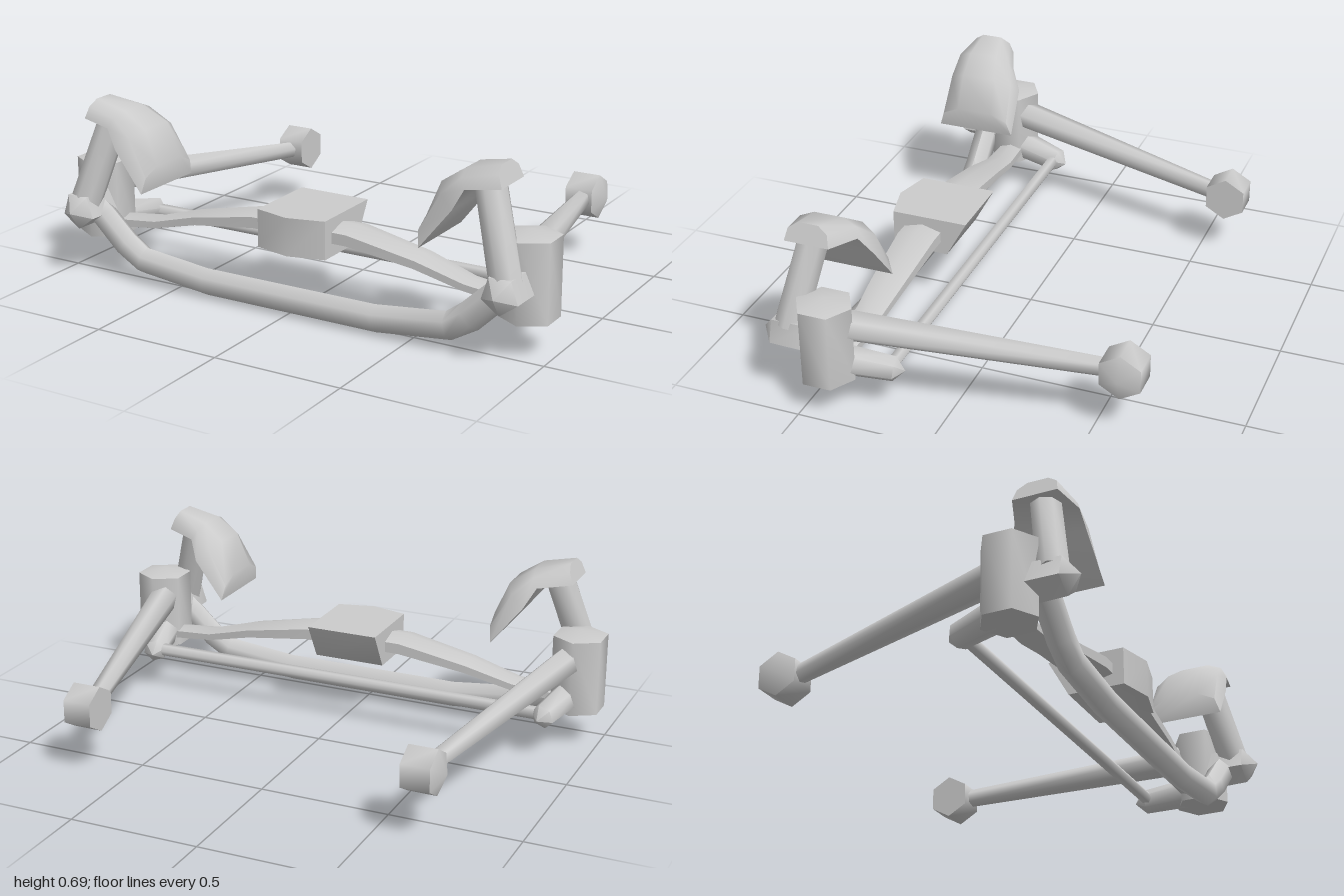
import * as THREE from 'three';
import { toCreasedNormals } from 'three/addons/utils/BufferGeometryUtils.js';

const material = new THREE.MeshStandardMaterial({ color: 0xcccccc, side: THREE.DoubleSide });
const V = (x, y, z) => new THREE.Vector3(x, y, z);

function part(name, geometry) {
  const mesh = new THREE.Mesh(toCreasedNormals(geometry, 1.1), material);
  mesh.name = name;
  return mesh;
}

// Skin over a row of equal-sized closed rings, with both ends capped
function loft(rings) {
  const n = rings[0].length, pos = [], index = [];
  rings.forEach(r => r.forEach(p => pos.push(p.x, p.y, p.z)));
  for (let i = 0; i < rings.length - 1; i++) {
    for (let j = 0; j < n; j++) {
      const a = i * n + j, b = i * n + (j + 1) % n;
      index.push(a, b, a + n, b, b + n, a + n);
    }
  }
  const last = (rings.length - 1) * n;
  for (let j = 1; j < n - 1; j++) {
    index.push(0, j + 1, j, last, last + j, last + j + 1);
  }
  // Turn the faces outward if the enclosed volume comes out negative
  let volume = 0;
  const at = i => V(pos[3 * i], pos[3 * i + 1], pos[3 * i + 2]);
  for (let i = 0; i < index.length; i += 3) {
    volume += at(index[i]).dot(at(index[i + 1]).cross(at(index[i + 2])));
  }
  if (volume < 0) index.reverse();
  const g = new THREE.BufferGeometry();
  g.setAttribute('position', new THREE.Float32BufferAttribute(pos, 3));
  g.setIndex(index);
  return g;
}

// Tapered rod between two points; tip adds a conical end at b
function rod(a, b, ra, rb, tip = 0, sides = 6) {
  const length = a.distanceTo(b);
  const profile = [[0, 0], [ra, 0], [rb, length], [0, length + tip]];
  const g = new THREE.LatheGeometry(profile.map(p => new THREE.Vector2(...p)), sides);
  const dir = b.clone().sub(a).normalize();
  g.applyQuaternion(new THREE.Quaternion().setFromUnitVectors(V(0, 1, 0), dir));
  return g.translate(a.x, a.y, a.z);
}

// Bar following a path of [x, y, z, half height, half depth] in the front plane
function bar(path) {
  return loft(path.map(([x, y, z, h, d], i) => {
    const p = path[Math.max(i - 1, 0)], q = path[Math.min(i + 1, path.length - 1)];
    const t = new THREE.Vector2(q[0] - p[0], q[1] - p[1]).normalize();
    return Array.from({ length: 6 }, (_, k) => {
      const a = k * Math.PI / 3, u = Math.cos(a) * h;
      return V(x - t.y * u, y + t.x * u, z + Math.sin(a) * d * 1.12);
    });
  }));
}

const mirrored = half => [...half, ...half.map(([x, ...rest]) => [-x, ...rest]).reverse()];

// Arched hood: [crown x, crown y, edge x, edge y, back z, front z] per station
function hood(s) {
  const stations = [
    [-0.84, 0.70, -0.865, 0.63, 0.41, 0.58],
    [-0.71, 0.67, -0.74, 0.615, 0.36, 0.605],
    [-0.62, 0.61, -0.70, 0.54, 0.32, 0.615],
    [-0.565, 0.48, -0.58, 0.39, 0.31, 0.625],
  ];
  const arch = [[0, 0], [0.06, 0.65], [0.27, 1], [0.73, 1], [0.94, 0.65], [1, 0]];
  return loft(stations.map(([cx, cy, ex, ey, z0, z1]) => arch.map(([w, h]) =>
    V(-s * (ex + (cx - ex) * h), ey + (cy - ey) * h, z0 + (z1 - z0) * w))));
}

export function createModel() {
  const model = new THREE.Group();
  const add = (name, g) => model.add(part(name, g));

  // Cross members
  add('frontBar', bar(mirrored([
    [-0.915, 0.30, 0.525, 0.053, 0.044], [-0.83, 0.235, 0.525, 0.053, 0.044],
    [-0.73, 0.14, 0.525, 0.055, 0.044], [-0.65, 0.09, 0.525, 0.053, 0.044],
    [-0.36, 0.058, 0.525, 0.053, 0.044],
  ])));
  add('axleBeam', bar(mirrored([
    [-0.9, 0.18, 0.41, 0.03, 0.045], [-0.66, 0.205, 0.395, 0.025, 0.052],
    [-0.47, 0.255, 0.39, 0.03, 0.066], [-0.2, 0.30, 0.39, 0.042, 0.078],
  ])));
  add('tieRod', rod(V(-0.82, 0.175, 0.212), V(0.82, 0.175, 0.212), 0.025, 0.025));

  // Central housing, undercut at the back and slightly pointed in front
  const plan = (y, back) => [
    [-0.143, back], [0.143, back], [0.143, 0.51], [0, 0.545], [-0.143, 0.51],
  ].map(([x, z]) => V(x, y, z));
  add('centreHousing', loft([plan(0.23, 0.29), plan(0.375, 0.21)]));

  // Mirrored side assemblies
  for (const s of [1, -1]) {
    const side = s > 0 ? 'left' : 'right';
    const P = (x, y, z) => V(s * x, y, z);
    add(side + 'KingPin', rod(P(0.905, 0.14, 0.42), P(0.905, 0.435, 0.42), 0.107, 0.107, 0.022));
    add(side + 'TrailingArm', rod(P(0.89, 0.35, 0.42), P(0.665, 0.25, -0.57), 0.06, 0.035));
    add(side + 'RearMount', rod(P(0.61, 0.253, -0.6), P(0.72, 0.253, -0.6), 0.0875, 0.0875, 0.035)
      .translate(0, -0.253, 0.6).rotateX(Math.PI / 6 * (isPointedUp(s) ? 0 : 1)).translate(0, 0.253, -0.6));
    add(side + 'SteeringArm', rod(P(0.89, 0.205, 0.42), P(0.835, 0.17, 0.195), 0.062, 0.048, 0.04));
    add(side + 'Joint', rod(P(0.885, 0.275, 0.47), P(0.885, 0.275, 0.62), 0.075, 0.072, 0.05, 5));
    add(side + 'Post', rod(P(0.885, 0.3, 0.57), P(0.785, 0.63, 0.5), 0.06, 0.058, 0, 8));
    add(side + 'Hood', hood(s));
  }
  return model;
}

// The lathe seam lands sideways after turning onto the x axis, so no corner points up
function isPointedUp() {
  return false;
}
